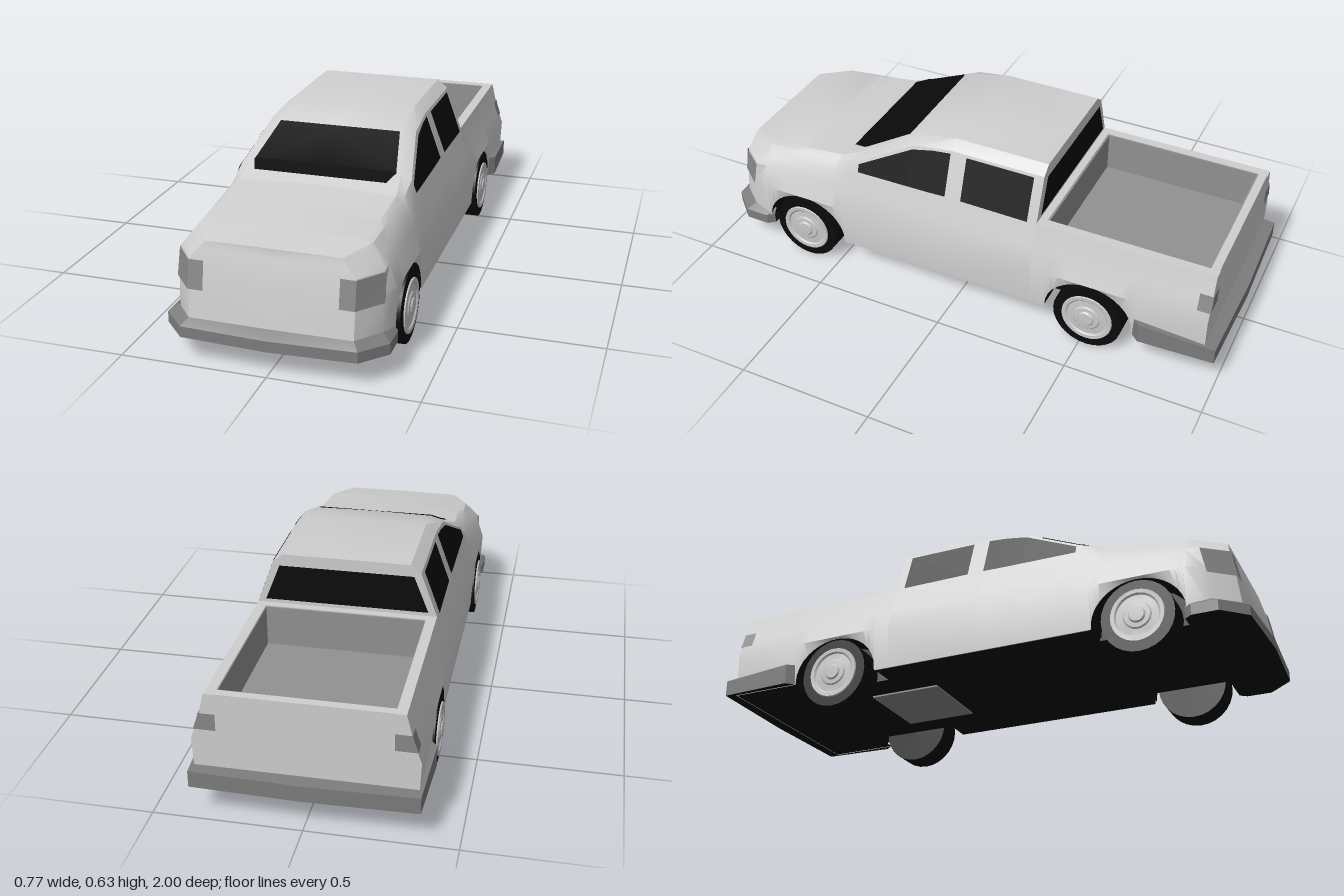
import * as THREE from 'three';
import { toCreasedNormals } from 'three/addons/utils/BufferGeometryUtils.js';

const mat = (name, color, side = THREE.FrontSide) => {
  const m = new THREE.MeshStandardMaterial({ color, side });
  m.name = name;
  return m;
};

const AXLES = [0.63, -0.525];
const WHEEL_R = 0.128;
const ARCH = { w: 0.165, h: 0.145, y: 0.12 };

// Skin through rows of points at successive stations (z rising), mirrored in x
function loft(stations, crease = 0.45) {
  const pos = [];
  for (const s of [1, -1]) {
    const put = (...pts) => (s > 0 ? pts : pts.reverse()).forEach(p => pos.push(p[0] * s, p[1], p[2]));
    for (let i = 0; i < stations.length - 1; i++) {
      for (let j = 0; j < stations[i].length - 1; j++) {
        const a = stations[i][j], b = stations[i + 1][j], c = stations[i + 1][j + 1], d = stations[i][j + 1];
        put(a, b, c);
        put(a, c, d);
      }
    }
  }
  const g = new THREE.BufferGeometry();
  g.setAttribute('position', new THREE.Float32BufferAttribute(pos, 3));
  g.computeVertexNormals();
  return toCreasedNormals(g, crease);
}

// Lower edge of the side, raised over each wheel
function sill(z) {
  let y = 0.11;
  for (const a of AXLES) {
    const t = (z - a) / ARCH.w;
    if (Math.abs(t) < 1) y = Math.max(y, ARCH.y + ARCH.h * Math.sqrt(1 - t * t));
  }
  return y;
}

// Lean of the cab side
const cabX = y => 0.32 - 0.3625 * (y - 0.44);
const centred = st => st.map(([, y, z]) => [0, y, z]);
const lower = z => [[0.342, 0.35, z], [0.369, 0.27, z], [0.362, 0.11, z]];

// Key stations joined by straight lines, with extra columns around the arches
function columns(keys, from, to) {
  const zs = new Set(keys.map(k => k[0][2]));
  for (const a of AXLES) {
    for (let k = 0; k <= 16; k++) {
      const z = a - ARCH.w * Math.cos(k * Math.PI / 16);
      if (z > from && z < to) zs.add(z);
    }
  }
  return [...zs].sort((p, q) => p - q).map(z => {
    let i = 0;
    while (i < keys.length - 2 && keys[i + 1][0][2] < z) i++;
    const t = (z - keys[i][0][2]) / (keys[i + 1][0][2] - keys[i][0][2]);
    const st = keys[i].map((p, j) => p.map((v, n) => v + (keys[i + 1][j][n] - v) * t));
    st[st.length - 1][1] = sill(z);
    return st;
  });
}

export function createModel() {
  const truck = new THREE.Group();
  truck.name = 'pickupTruck';
  const paint = mat('body paint', 0xcfcfcf, THREE.DoubleSide);
  const black = mat('black glass and rubber', 0x0a0a0a, THREE.DoubleSide);
  const trim = mat('bumper grey', 0x7c7c7c, THREE.DoubleSide);
  const lamp = mat('lamp grey', 0x878787, THREE.DoubleSide);
  const lining = mat('bed lining', 0x919191);
  const metal = mat('wheel metal', 0xc8c8c8, THREE.DoubleSide);

  const add = (name, geometry, material, x = 0, y = 0, z = 0, parent = truck) => {
    const m = new THREE.Mesh(geometry, material);
    m.name = name;
    m.position.set(x, y, z);
    parent.add(m);
    return m;
  };
  const box = (name, w, h, d, material, x, y, z) => add(name, new THREE.BoxGeometry(w, h, d), material, x, y, z);

  // Cab and hood: z, roof height, edge x, edge y, upper side x, y, waist x, y
  const keys = [
    [-0.305, 0.63, 0.225, 0.63, cabX(0.6), 0.6, 0.32, 0.44],
    [0.05, 0.63, 0.225, 0.63, cabX(0.6), 0.6, 0.32, 0.44],
    [0.2, 0.605, 0.222, 0.602, cabX(0.582), 0.582, 0.32, 0.44],
    [0.4, 0.5, 0.27, 0.495, cabX(0.477), 0.477, 0.32, 0.44],
    [0.5, 0.465, 0.28, 0.455, 0.302, 0.437, 0.325, 0.4],
    [0.8, 0.425, 0.27, 0.42, 0.29, 0.415, 0.32, 0.378],
  ].map(([z, t, ex, ey, ux, uy, wx, wy]) =>
    [[0, t, z], [ex, ey, z], [ux, uy, z], [wx, wy, z], ...lower(z)]);
  const corner = [[0, 0.42, 0.83], [0.262, 0.418, 0.815], [0.283, 0.413, 0.815], [0.32, 0.375, 0.825],
    [0.342, 0.345, 0.845], [0.345, 0.27, 0.86], [0.345, 0.11, 0.87]];
  const nose = [[0, 0.405, 0.917], [0.2, 0.404, 0.917], [0.225, 0.402, 0.917], [0.25, 0.375, 0.923],
    [0.275, 0.345, 0.93], [0.275, 0.27, 0.943], [0.275, 0.11, 0.962]];
  const cab = columns(keys, -0.305, 0.8);
  add('cabAndHood', loft([centred(cab[0]), ...cab, corner, nose, centred(nose)]), paint);

  // Cargo bed shell, tailgate and rim
  const bedKeys = [-0.95, -0.305].map(z => [[0.285, 0.44, z], [0.32, 0.44, z], ...lower(z)]);
  const bed = columns(bedKeys, -0.95, -0.305);
  add('bedShell', loft([centred(bed[0]), ...bed]), paint);
  for (const z of [-0.9325, -0.318]) box('bedRim', 0.57, 0.02, 0.03, paint, 0, 0.43, z);

  // Bed lining
  box('bedFloor', 0.57, 0.01, 0.59, lining, 0, 0.285, -0.625);
  for (const s of [1, -1]) {
    box('bedSideWall', 0.008, 0.15, 0.59, lining, s * 0.286, 0.362, -0.625);
    box('bedEndWall', 0.57, 0.15, 0.008, lining, 0, 0.362, -0.625 + s * 0.29);
  }

  // Windscreen and rear window
  const screen = [[0.237, 0.587, 0.22], [0.4, 0.502, 0.253], [0.412, 0.498, 0.256], [0.465, 0.48, 0.235]];
  add('windscreen', loft(screen.map(([z, y, x]) => [[0, y + 0.003, z], [x, y + 0.003, z]])), black);
  add('rearWindow', loft([
    [[0, 0.588, -0.309], [0, 0.455, -0.309]],
    [[0.238, 0.588, -0.309], [0.29, 0.455, -0.309]],
  ]), black);

  // Side windows lie on the leaning cab side: z, top, bottom
  const pane = pts => loft(pts.map(([z, t, b]) => [t, b].map(y => [cabX(y) + 0.004, y, z])));
  add('rearDoorWindows', pane([[-0.27, 0.592, 0.438], [-0.012, 0.592, 0.44]]), black);
  add('frontDoorWindows', pane([[0.05, 0.592, 0.44], [0.12, 0.585, 0.438], [0.2, 0.569, 0.437], [0.405, 0.464, 0.435]]), black);

  // Headlamps and tail lamps wrap the corners
  add('headlamps', loft([
    [[0.345, 0.343, 0.847], [0.349, 0.247, 0.866]],
    [[0.277, 0.343, 0.935], [0.277, 0.247, 0.952]],
    [[0.225, 0.343, 0.935], [0.225, 0.247, 0.952]],
  ]), lamp);
  const tail = [[0.34, 0.37], [0.345, 0.35], [0.359, 0.31]];
  add('tailLamps', loft([
    tail.map(([, y]) => [0.285, y, -0.953]),
    tail.map(([x, y]) => [x, y, -0.953]),
    tail.map(([x, y]) => [x, y, -0.905]),
  ]), lamp);

  // Bumpers: outer x, z, inner x, z; heights for top, edge and bottom
  const bumper = (name, outline, top, edge, bottom) => {
    add(name, loft(outline.map(([ox, oz, ix, iz]) =>
      [[ix, top(iz), iz], [ox, edge(oz), oz], [ox, bottom, oz]]), 0.2), trim);
    add(name + 'Underside', loft(outline.map(([ox, oz]) => [[ox, bottom, oz], [0, bottom, oz]])), black);
  };
  bumper('frontBumper', [
    [0.355, 0.785, 0.34, 0.785], [0.375, 0.81, 0.345, 0.81], [0.375, 0.9, 0.345, 0.875],
    [0.295, 0.985, 0.275, 0.958], [0, 1, 0, 0.962],
  ], () => 0.15, () => 0.128, 0.09);
  const slope = z => 0.17 - (z + 1) * -0.06;
  bumper('rearBumper', [
    [0, -1, 0, -0.945], [0.375, -0.99, 0.345, -0.945], [0.387, -0.72, 0.355, -0.72], [0.36, -0.69, 0.35, -0.69],
  ], slope, slope, 0.112);

  // Dark chassis, sills between the wheels and a plate below
  box('chassis', 0.52, 0.14, 1.86, black, 0, 0.182, -0.005);
  box('sillBlock', 0.715, 0.12, 0.815, black, 0, 0.17, 0.0525);
  box('rearBlock', 0.7, 0.12, 0.24, black, 0, 0.173, -0.82);
  box('frontBlock', 0.67, 0.1, 0.06, black, 0, 0.161, 0.83);
  box('underPlate', 0.3, 0.006, 0.27, lamp, 0, 0.107, -0.35);

  // Wheels and arch liners
  const archGeo = new THREE.CylinderGeometry(1, 1, 0.1, 20, 1, true, 0, Math.PI)
    .rotateZ(Math.PI / 2).scale(1, ARCH.h, ARCH.w);
  const tyreGeo = new THREE.CylinderGeometry(WHEEL_R, WHEEL_R, 0.097, 28).rotateZ(Math.PI / 2);
  const rimProfile = [[0.095, 0], [0.093, 0.005], [0.08, 0.004], [0.074, -0.001], [0.05, 0.001],
    [0.045, 0.005], [0.03, 0.006], [0.025, 0.011], [0, 0.012]].map(([r, h]) => new THREE.Vector2(r, h + 0.002));
  const rimGeo = toCreasedNormals(new THREE.LatheGeometry(rimProfile, 28).rotateZ(-Math.PI / 2), 0.4);
  for (const z of AXLES) {
    for (const s of [1, -1]) {
      add('archLiner', archGeo, black, s * 0.31, ARCH.y, z);
      const wheel = new THREE.Group();
      wheel.name = z > 0 ? 'frontWheel' : 'rearWheel';
      wheel.position.set(s * 0.3185, WHEEL_R, z);
      wheel.rotation.y = s > 0 ? 0 : Math.PI;
      add('tyre', tyreGeo, black, 0, 0, 0, wheel);
      add('rim', rimGeo, metal, 0.0485, 0, 0, wheel);
      truck.add(wheel);
    }
  }
  return truck;
}
